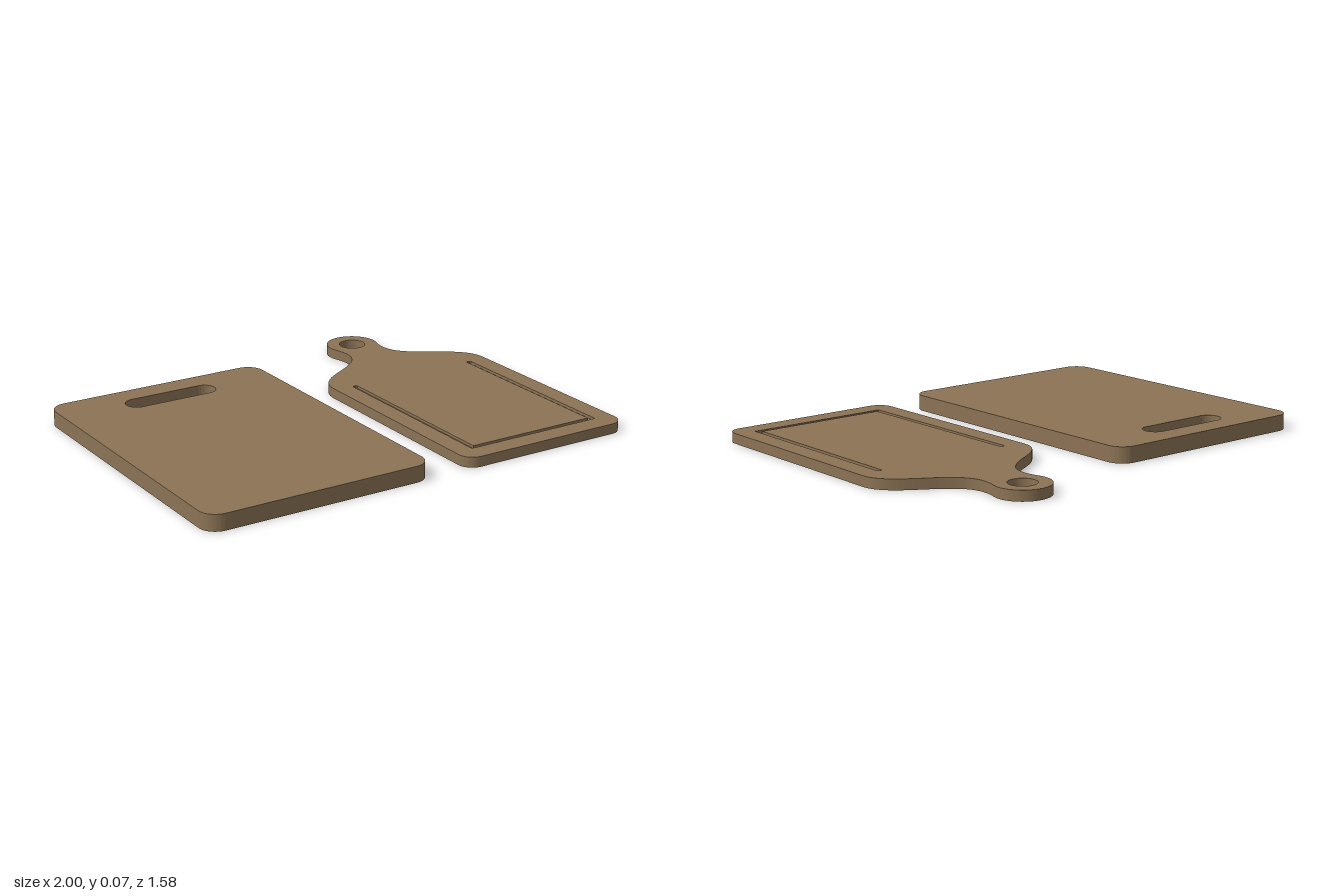
import * as THREE from 'three';
import { mergeGeometries, toCreasedNormals } from 'three/addons/utils/BufferGeometryUtils.js';

const wood = new THREE.MeshStandardMaterial({ color: 0x8b7355 });
wood.name = 'wood';

// Shapes are drawn in plan with shape y = -z, then laid flat.
function extrude(shape, y, depth) {
  return new THREE.ExtrudeGeometry(shape, { depth, bevelEnabled: false, curveSegments: 16 })
    .translate(0, 0, y).rotateX(-Math.PI / 2);
}

// Keeps vertices from one index to another, positions only.
function keep(geometry, from = 0, to = Infinity) {
  const p = geometry.index ? geometry.toNonIndexed().attributes.position : geometry.attributes.position;
  const result = new THREE.BufferGeometry();
  result.setAttribute('position', new THREE.BufferAttribute(p.array.slice(from * 3, Math.min(to, p.count) * 3), 3));
  return result;
}

function roundedRect(path, x0, x1, y0, y1, r) {
  path.absarc(x1 - r, y0 + r, r, -Math.PI / 2, 0);
  path.absarc(x1 - r, y1 - r, r, 0, Math.PI / 2);
  path.absarc(x0 + r, y1 - r, r, Math.PI / 2, Math.PI);
  path.absarc(x0 + r, y0 + r, r, Math.PI, Math.PI * 1.5);
  path.closePath();
  return path;
}

function addMesh(group, name, geometry) {
  const mesh = new THREE.Mesh(toCreasedNormals(geometry, 0.6), wood);
  mesh.name = name;
  group.add(mesh);
}

// Rectangular board with a slot handle
function slotBoard() {
  const shape = roundedRect(new THREE.Shape(), -1, 0.01, -0.79, 0.6, 0.075);
  shape.holes.push(roundedRect(new THREE.Path(), -0.71, -0.283, 0.385, 0.49, 0.052));
  return keep(extrude(shape, 0, 0.07));
}

// Paddle board with a ring handle and a U-shaped juice groove
function paddleBoard() {
  const cx = 0.59, top = 0.045, floor = 0.033;
  const ringY = 0.675, ringR = 0.118;

  // Right half of the outline, from bottom centre to handle top
  const half = new THREE.Path();
  half.moveTo(0, -0.79);
  half.absarc(0.407 - 0.065, -0.79 + 0.065, 0.065, -Math.PI / 2, 0);
  half.lineTo(0.407, 0.2);
  half.bezierCurveTo(0.407, 0.33, 0.25, 0.37, 0.174, 0.436);
  half.bezierCurveTo(0.12, 0.478, 0.078, 0.53, 0.1126, 0.64);
  half.absarc(0, ringY, ringR, Math.atan2(0.64 - ringY, 0.1126), Math.PI / 2);
  const right = half.getPoints(20);
  const left = right.slice(1, -1).reverse().map(p => new THREE.Vector2(-p.x, p.y));
  const outline = [...right, ...left].map(p => new THREE.Vector2(p.x + cx, p.y));

  const hole = new THREE.Path().absarc(cx, ringY, 0.06, 0, Math.PI * 2);

  // Groove outline
  const side = [[0.321, -0.7], [0.321, 0.175], [0.316, 0.18], [0.304, 0.18], [0.299, 0.175], [0.299, -0.68]];
  const groove = [
    ...side.map(([x, y]) => new THREE.Vector2(cx + x, y)),
    ...side.slice().reverse().map(([x, y]) => new THREE.Vector2(cx - x, y)),
  ];

  const lowerShape = new THREE.Shape(outline);
  lowerShape.holes.push(hole);
  const upperShape = new THREE.Shape(outline);
  upperShape.holes.push(hole, new THREE.Path(groove));

  // Join the layers, leaving out the faces between them
  const lower = extrude(lowerShape, 0, floor);
  const upper = extrude(upperShape, floor, top - floor);
  const grooveFloor = new THREE.ShapeGeometry(new THREE.Shape(groove)).translate(0, 0, floor).rotateX(-Math.PI / 2);
  return mergeGeometries([
    keep(lower, 0, lower.groups[0].count / 2),
    keep(lower, lower.groups[1].start),
    keep(upper, upper.groups[0].count / 2),
    keep(grooveFloor),
  ]);
}

export function createModel() {
  const group = new THREE.Group();
  group.name = 'cuttingBoards';
  addMesh(group, 'slotHandleBoard', slotBoard());
  addMesh(group, 'ringHandleBoard', paddleBoard());
  return group;
}
